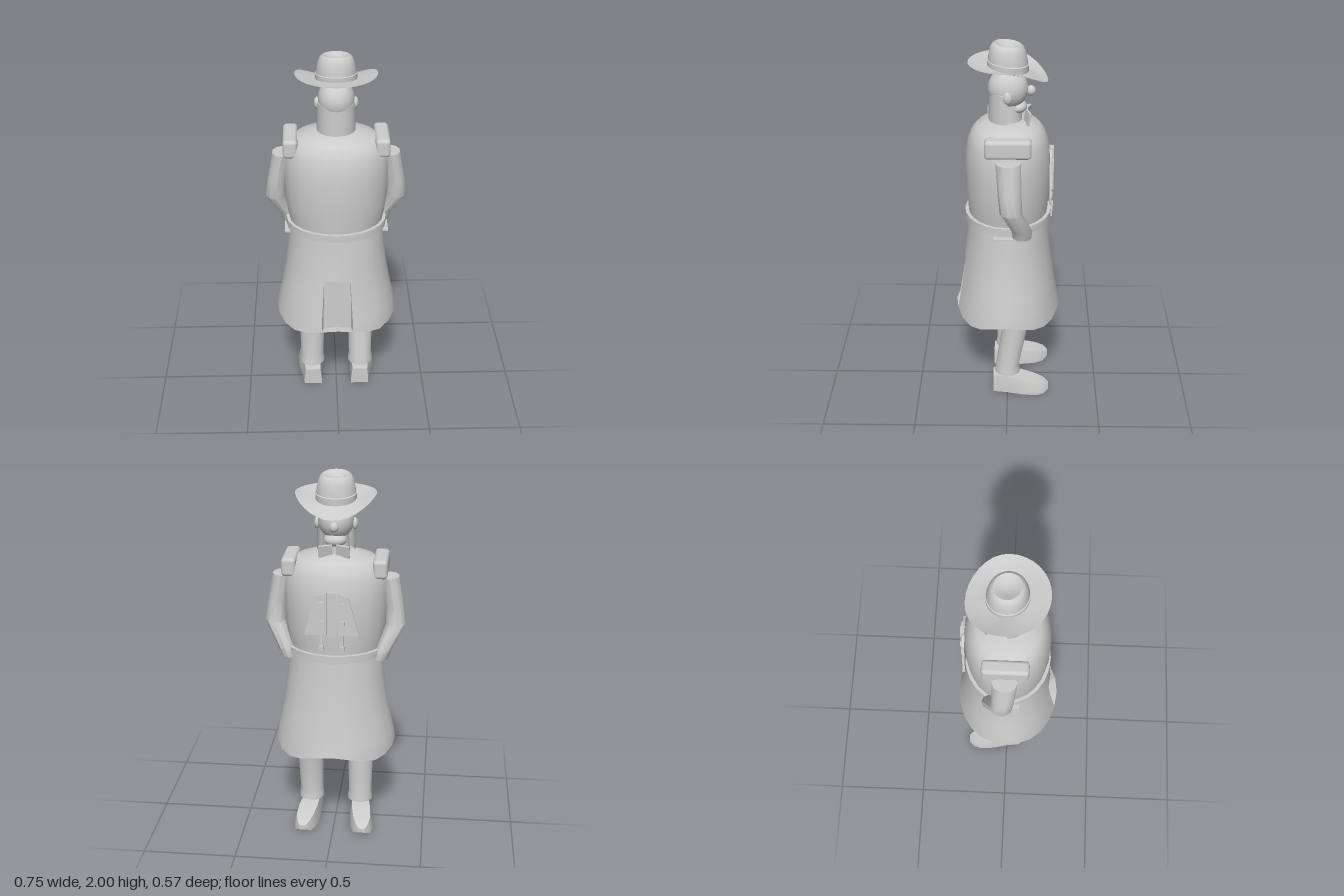
import * as THREE from 'three';
import { toCreasedNormals } from 'three/addons/utils/BufferGeometryUtils.js';
import { RoundedBoxGeometry } from 'three/addons/geometries/RoundedBoxGeometry.js';

const grey = new THREE.MeshStandardMaterial({ color: 0xcccccc, side: THREE.DoubleSide });
grey.name = 'plain grey';

// Horizontal ellipse of points, counter-clockwise seen from above
function ellipse(cx, y, cz, rx, rz, n = 24) {
  return Array.from({ length: n }, (_, i) => {
    const a = (i / n) * Math.PI * 2;
    return [cx + rx * Math.sin(a), y, cz + rz * Math.cos(a)];
  });
}

// Skin over a stack of closed rings; skip(row, column) leaves faces out
function loft(rings, { bottom = true, top = true, skip = () => false, crease = 0.7 } = {}) {
  const out = [];
  const tri = (a, b, c) => out.push(...a, ...b, ...c);
  const n = rings[0].length;
  for (let r = 0; r < rings.length - 1; r++) {
    for (let j = 0; j < n; j++) {
      if (skip(r, j)) continue;
      const k = (j + 1) % n, lo = rings[r], hi = rings[r + 1];
      tri(lo[j], lo[k], hi[k]);
      tri(lo[j], hi[k], hi[j]);
    }
  }
  const cap = (ring, flip) => {
    const mid = [0, 1, 2].map((i) => ring.reduce((s, p) => s + p[i], 0) / n);
    ring.forEach((p, j) => {
      const q = ring[(j + 1) % n];
      flip ? tri(mid, q, p) : tri(mid, p, q);
    });
  };
  if (bottom) cap(rings[0], true);
  if (top) cap(rings[rings.length - 1], false);
  return fromTriangles(out, crease);
}

function fromTriangles(values, crease) {
  const g = new THREE.BufferGeometry();
  g.setAttribute('position', new THREE.Float32BufferAttribute(values, 3));
  return toCreasedNormals(g, crease);
}

export function createModel() {
  const model = new THREE.Group();
  const add = (name, geometry, x = 0, y = 0, z = 0) => {
    const mesh = new THREE.Mesh(geometry, grey);
    mesh.name = name;
    mesh.position.set(x, y, z);
    model.add(mesh);
    return mesh;
  };
  const ball = (name, x, y, z, rx, ry, rz) =>
    add(name, new THREE.SphereGeometry(1, 24, 16), x, y, z).scale.set(rx, ry, rz);
  const box = (name, w, h, d, x, y, z) => add(name, new THREE.BoxGeometry(w, h, d), x, y, z);

  // Coat body with sloping shoulders
  add('coatBody', loft([
    [1.06, 0.245, 0.21], [1.11, 0.256, 0.213], [1.2, 0.27, 0.222], [1.38, 0.277, 0.224],
    [1.48, 0.268, 0.21], [1.53, 0.245, 0.19], [1.56, 0.205, 0.165], [1.59, 0.1, 0.1],
  ].map(([y, rx, rz]) => ellipse(0, y, 0, rx, rz))));

  // Coat skirt with a wavy hem and a slit on the +z side
  const hem = ellipse(0, 0, 0, 0.33, 0.285).map(([x, , z], i) =>
    [x, 0.49 + 0.022 * Math.cos((i / 24) * Math.PI * 8), z]);
  const skirt = [hem, ...[
    [0.57, 0.322, 0.272], [0.68, 0.297, 0.253], [0.8, 0.275, 0.238], [0.93, 0.26, 0.222], [1.08, 0.247, 0.21],
  ].map(([y, rx, rz]) => ellipse(0, y, 0, rx, rz))];
  add('coatSkirt', loft(skirt, { skip: (r, j) => r < 3 && (j === 0 || j === 23) }));

  // Back wall and side walls of the slit
  const slit = [];
  const foot = [-1, 1].map((s) => [s * 0.075, 0.5, 0.232]);
  const head = [skirt[3][23], skirt[3][1]];
  slit.push(...foot[0], ...foot[1], ...head[1], ...foot[0], ...head[1], ...head[0]);
  slit.push(...head[0], ...head[1], ...skirt[3][0]);
  [23, 1].forEach((col, s) => {
    for (let r = 0; r < 3; r++) {
      const a = skirt[r][col], b = skirt[r + 1][col];
      slit.push(...(s ? [...foot[s], ...b, ...a] : [...foot[s], ...a, ...b]));
    }
  });
  add('skirtSlit', fromTriangles(slit, 0.3));

  // Belt and buckle
  add('belt', loft([1.04, 1.08].map((y) => ellipse(0, y, 0, 0.267, 0.23))));
  box('beltBuckle', 0.04, 0.045, 0.015, 0, 1.06, -0.231);

  // Lapels, placket and buttons on the chest
  for (const s of [-1, 1]) {
    const lapel = new THREE.Shape([[0.028, 1.2], [0.142, 1.2], [0.085, 1.41], [0.028, 1.43]]
      .map(([x, y]) => new THREE.Vector2(s * x, y)));
    add('lapel', new THREE.ExtrudeGeometry(lapel, { depth: 0.012, bevelEnabled: false }), 0, 0, -0.23);
    for (const y of [1.37, 1.27, 1.13]) box('button', 0.022, 0.022, 0.014, s * 0.055, y, -0.234);
    box('lapelStrap', 0.01, 0.07, 0.008, s * 0.055, 1.17, -0.226);
  }
  box('placket', 0.04, 0.24, 0.022, 0, 1.315, -0.231);

  for (const s of [-1, 1]) {
    // Shoulder pads
    add('shoulderPad', new RoundedBoxGeometry(0.076, 0.1, 0.238, 3, 0.02), s * 0.238, 1.522, -0.003);

    // Sleeves bent at the elbow, the hands resting in the pockets
    add('sleeve', loft([
      [0.245, 1.02, -0.075, 0.04, 0.05], [0.258, 1.07, -0.075, 0.045, 0.055],
      [0.323, 1.2, -0.02, 0.055, 0.058], [0.312, 1.3, -0.012, 0.052, 0.06],
      [0.283, 1.46, -0.005, 0.052, 0.065],
    ].map(([x, y, z, rx, rz]) => ellipse(s * x, y, z, rx, rz, 10))));
    box('pocketEdge', 0.03, 0.01, 0.12, s * 0.262, 1.02, 0.01);

    // Legs, one leaning forward from the ankle
    const lean = s > 0 ? -0.062 : 0;
    add('leg', loft([
      [0.12, 0.07, 0], [0.145, 0.068, 0], [0.165, 0.064, 0], [0.53, 0.074, lean],
    ].map(([y, r, z]) => ellipse(s * 0.138, y, z, r, r, 20))));

    // Shoes, heel to toe: z, centre, half width, height, top width ratio, sole height
    add('shoe', loft([
      [0.08, 0.135, 0.05, 0.1, 0.85, 0], [0, 0.14, 0.056, 0.105, 0.85, 0],
      [-0.08, 0.15, 0.065, 0.093, 0.8, 0], [-0.16, 0.16, 0.062, 0.075, 0.75, 0],
      [-0.205, 0.164, 0.045, 0.062, 0.75, 0.003], [-0.23, 0.166, 0.02, 0.045, 0.8, 0.02],
    ].map(([z, c, w, h, t, b]) => [
      [s * c - w, b, z], [s * c - w, b + (h - b) * 0.3, z], [s * c - w * t, h, z],
      [s * c + w * t, h, z], [s * c + w, b + (h - b) * 0.3, z], [s * c + w, b, z],
    ]), { crease: 0.5 }));

    // Ears and front collar flaps
    ball('ear', s * 0.098, 1.735, 0, 0.016, 0.032, 0.024);
    const flap = box('collarFlap', 0.07, 0.08, 0.012, s * 0.045, 1.605, -0.1);
    flap.rotation.set(-0.2, s * 0.3, 0);
  }

  // Head, nose, jaw and neck
  ball('head', 0, 1.757, 0, 0.094, 0.106, 0.104);
  ball('nose', 0, 1.745, -0.118, 0.025, 0.027, 0.025);
  ball('jaw', 0, 1.66, -0.05, 0.06, 0.035, 0.048);
  add('neck', new THREE.CylinderGeometry(0.065, 0.075, 0.14, 20), 0, 1.63, 0);

  // High collar wrapped around the +z half of the neck
  const half = [-Math.PI / 2, Math.PI];
  add('collar', new THREE.CylinderGeometry(0.098, 0.1, 0.16, 16, 1, true, ...half), 0, 1.665, 0);
  add('collarTop', new THREE.CylinderGeometry(0.07, 0.098, 0.012, 16, 1, true, ...half), 0, 1.75, 0);

  // Hat brim: raised at the sides, dipping over the face
  const brimOuter = ellipse(0, 0, 0, 0.21, 0.205, 32).map(([x, , z]) =>
    [x, 1.898 - (z < 0 ? 0.095 * (z / 0.205) ** 2 : 0), z]);
  const brimInner = ellipse(0, 0, 0, 0.1, 0.1, 32).map(([x, , z]) => [x, 1.868 + 0.17 * z, z]);
  const brimMid = brimOuter.map((p, i) => p.map((v, k) =>
    (v + brimInner[i][k]) / 2 - (k === 1 ? 0.004 : 0)));
  add('hatBrim', loft([brimOuter, brimMid, brimInner], { bottom: false, top: false }));

  // Hat crown with band and dented top, tipped towards the face
  const crown = new THREE.LatheGeometry([
    [0.106, 1.862], [0.107, 1.897], [0.102, 1.9], [0.099, 1.925], [0.092, 1.96],
    [0.08, 1.985], [0.068, 1.993], [0.055, 1.988], [0.03, 1.975], [0, 1.972],
  ].map(([x, y]) => new THREE.Vector2(x, y)), 32);
  const p = crown.attributes.position;
  for (let i = 0; i < p.count; i++) p.setY(i, p.getY(i) + 0.11 * p.getZ(i));
  add('hatCrown', toCreasedNormals(crown, 0.7));

  return model;
}
